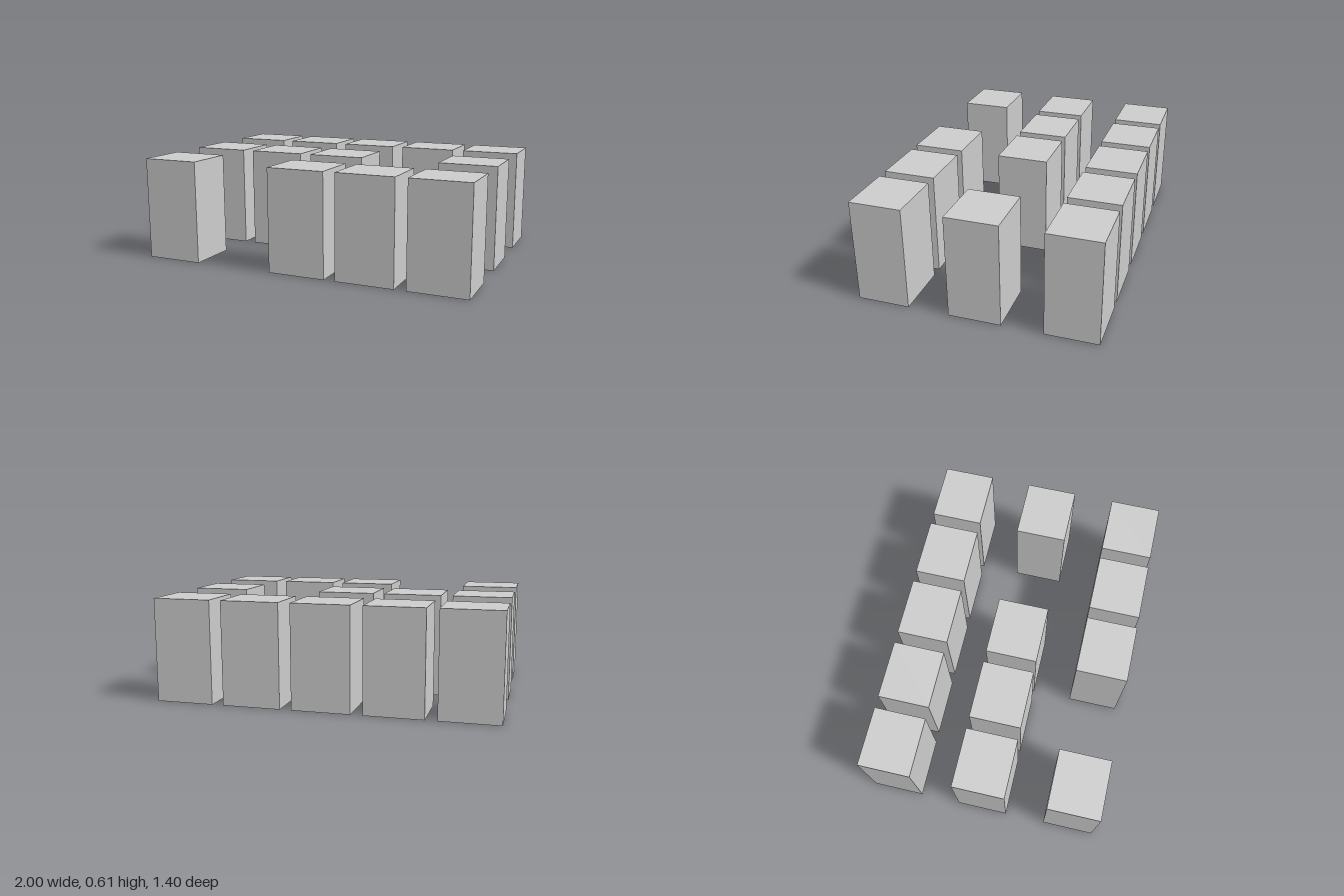
import * as THREE from 'three';

// Block size and grid spacing
const WIDTH = 0.345, HEIGHT = 0.61, DEPTH = 0.306;
const PITCH_X = 0.4137, PITCH_Z = 0.547;

// Rows from back to front; a dot is an empty plot
const LAYOUT = [
  '#####',
  '###.#',
  '#.###',
];

export function createModel() {
  const model = new THREE.Group();
  model.name = 'blockGrid';
  const material = new THREE.MeshStandardMaterial({ color: 0xcccccc, flatShading: true });
  const geometry = new THREE.BoxGeometry(WIDTH, HEIGHT, DEPTH);

  LAYOUT.forEach((plots, r) => {
    const row = new THREE.Group();
    row.name = ['backRow', 'middleRow', 'frontRow'][r];
    row.position.z = (r - 1) * PITCH_Z;
    [...plots].forEach((plot, c) => {
      if (plot !== '#') return;
      const block = new THREE.Mesh(geometry, material);
      block.name = `block${c + 1}`;
      block.position.set((c - 2) * PITCH_X, HEIGHT / 2, 0);
      row.add(block);
    });
    model.add(row);
  });

  return model;
}
